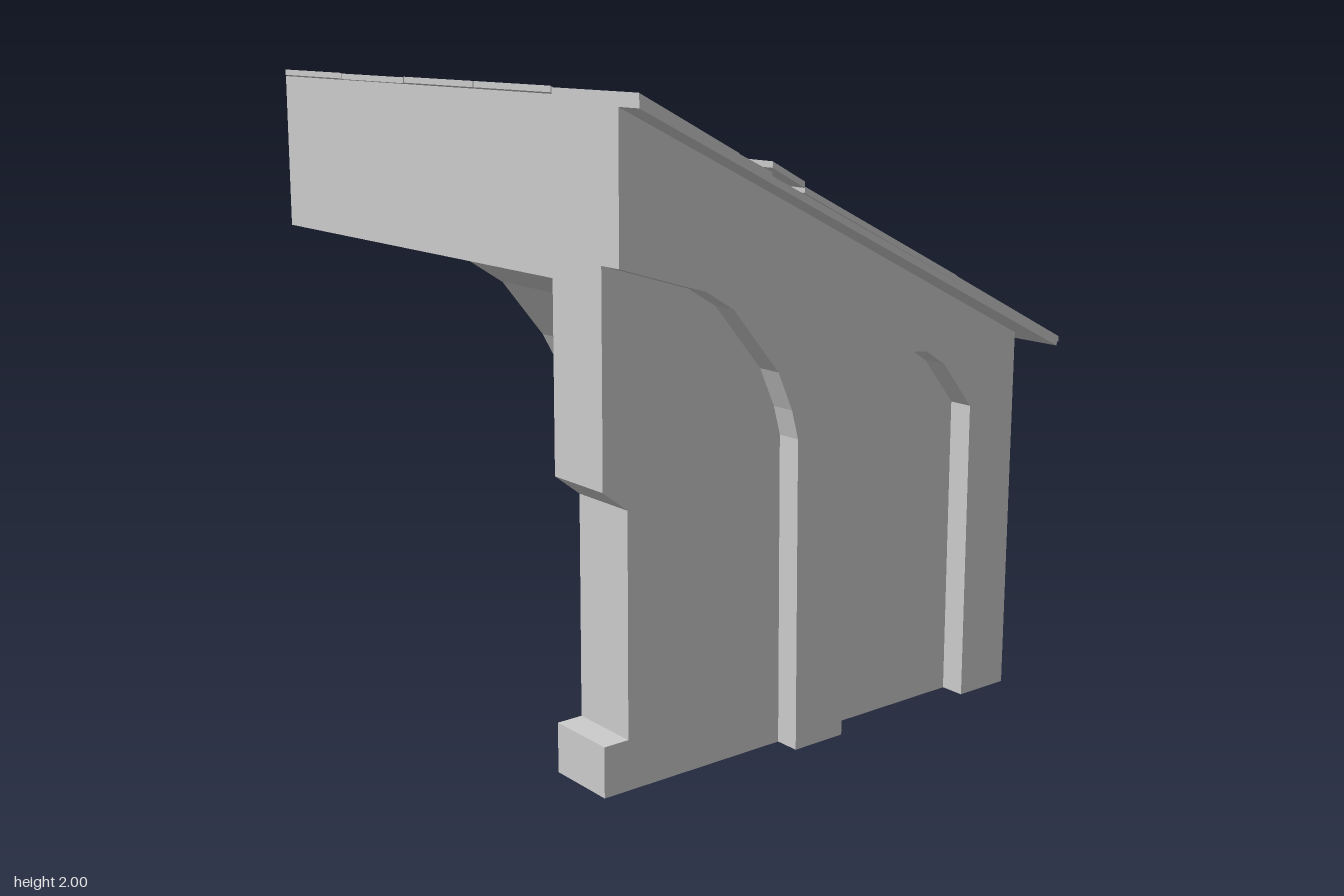
import * as THREE from 'three';

const material = new THREE.MeshStandardMaterial({ color: 0xcccccc });

// Height of the sloping roof surface at x
const roofY = (x) => 1.99 - 0.485 * (x + 0.85);

// Prism with an xy outline, running from z0 to z1
function prism(name, points, z0, z1) {
  const shape = new THREE.Shape(points.map(([x, y]) => new THREE.Vector2(x, y)));
  const geometry = new THREE.ExtrudeGeometry(shape, { depth: z1 - z0, bevelEnabled: false });
  geometry.translate(0, 0, z0);
  const mesh = new THREE.Mesh(geometry, material);
  mesh.name = name;
  return mesh;
}

// Roof board following the slope, with a lift at its upper and lower end
function board(name, x0, x1, lift0, lift1, z0, z1, thick = 0.018) {
  const a = roofY(x0) + lift0;
  const b = roofY(x1) + lift1;
  return prism(name, [[x0, a - thick], [x1, b - thick], [x1, b], [x0, a]], z0, z1);
}

export function createModel() {
  const model = new THREE.Group();
  model.name = 'vaultedLeanTo';

  const left = -0.85, right = 0.735;
  const eaves = [[right, 1.185], [left, 1.96]];

  // Half vault behind the front wall
  model.add(prism('vaultBody', [
    [0.42, 0], [right, 0], ...eaves,
    [left, 1.47], [-0.7, 1.45], [-0.4, 1.4], [-0.21, 1.33], [0.01, 1.19],
    [0.19, 0.97], [0.35, 0.69], [0.41, 0.37],
  ], -0.99, 0.59));

  // Front wall with half a window at its open edge
  model.add(prism('frontWall', [
    [left, 0], [right, 0], ...eaves,
    [left, 0.9], [-0.765, 0.835], [-0.765, 0.155], [left, 0.155],
  ], 0.59, 0.82));

  // Raised gable frame: half of a wide arch, a pier, a narrow arch, an end pier
  model.add(prism('gableFrame', [
    [-0.19, 0], [0, 0],
    [0.003, 0.97], [0.05, 1.06], [0.13, 1.15], [0.22, 1.18], [0.33, 1.17],
    [0.41, 1.12], [0.535, 0.97], [0.54, 0],
    [right, 0], ...eaves,
    [left, 1.53], [-0.55, 1.44], [-0.45, 1.38], [-0.28, 1.18], [-0.225, 1.06], [-0.2, 0.97],
  ], 0.82, 0.9));

  // Roof deck
  model.add(board('roofDeck', left, 0.835, -0.012, -0.008, -0.99, 0.99, 0.022));

  // Five rows of overlapping boards; each entry is x0, x1, upper lift, lower lift
  const rows = [
    [[left, -0.39, 0.01, 0], [-0.39, 0.73, 0.012, 0.012], [0.73, 0.845, 0.004, 0.004]],
    [[left, -0.39, 0.008, 0.002], [-0.39, 0.845, 0.014, 0.004]],
    [[left, -0.39, 0.01, 0], [-0.39, 0.23, 0.022, 0.016], [0.23, 0.845, 0.008, 0.004]],
    [[left, -0.7, 0.01, 0.008], [-0.7, -0.39, 0, -0.004], [-0.39, 0.845, 0.016, 0.004]],
    [[left, -0.51, 0.006, 0], [-0.51, -0.39, -0.002, 0], [-0.39, -0.27, 0.03, 0.026],
      [-0.27, 0.36, 0.012, 0.01], [0.36, 0.845, 0.008, 0.004]],
  ];
  const roof = new THREE.Group();
  roof.name = 'roofBoards';
  rows.forEach((row, i) => {
    const z0 = -0.992 + i * 0.397;
    row.forEach(([x0, x1, a, b]) => roof.add(board('roofBoard', x0, x1, a, b, z0, z0 + 0.392)));
  });
  model.add(roof);

  return model;
}
